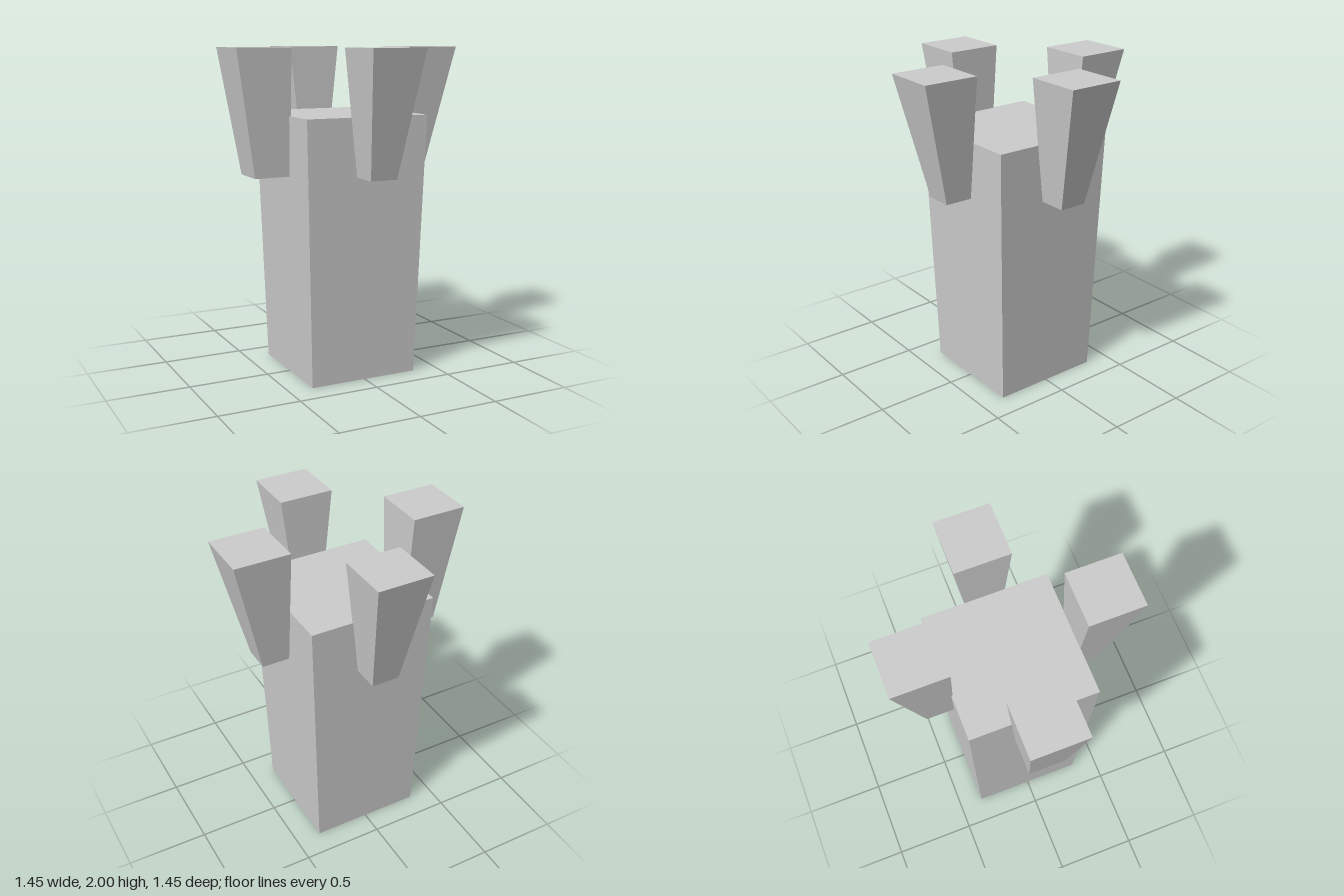
import * as THREE from 'three';

const material = new THREE.MeshStandardMaterial({ color: 0xcccccc, flatShading: true });

// Box whose bottom and top are separate rectangles: [x0, x1, z0, z1]
function taperedBox(name, y0, bottom, y1, top) {
  const geometry = new THREE.BoxGeometry(1, 1, 1);
  const p = geometry.attributes.position;
  for (let i = 0; i < p.count; i++) {
    const upper = p.getY(i) > 0;
    const [x0, x1, z0, z1] = upper ? top : bottom;
    p.setXYZ(i, p.getX(i) > 0 ? x1 : x0, upper ? y1 : y0, p.getZ(i) > 0 ? z1 : z0);
  }
  geometry.computeVertexNormals();
  const mesh = new THREE.Mesh(geometry, material);
  mesh.name = name;
  return mesh;
}

export function createModel() {
  const group = new THREE.Group();
  group.name = 'tower';

  // Main shaft, widening slightly upwards
  group.add(taperedBox('towerBody', 0, [-0.35, 0.343, -0.35, 0.343], 1.603, [-0.396, 0.39, -0.394, 0.386]));

  // Four flared battlements, one against each wall
  const battlements = [
    ['frontBattlement', 1.253, [-0.077, 0.093, 0.383, 0.553], [-0.159, 0.178, 0.386, 0.725]],
    ['backBattlement', 1.253, [-0.077, 0.093, -0.553, -0.383], [-0.159, 0.178, -0.725, -0.389]],
    ['leftBattlement', 1.253, [0.387, 0.557, -0.088, 0.082], [0.39, 0.727, -0.172, 0.166]],
    ['rightBattlement', 1.243, [-0.604, -0.383, -0.114, 0.108], [-0.727, -0.39, -0.172, 0.166]],
  ];
  for (const [name, y, bottom, top] of battlements) {
    group.add(taperedBox(name, y, bottom, 2, top));
  }
  return group;
}
